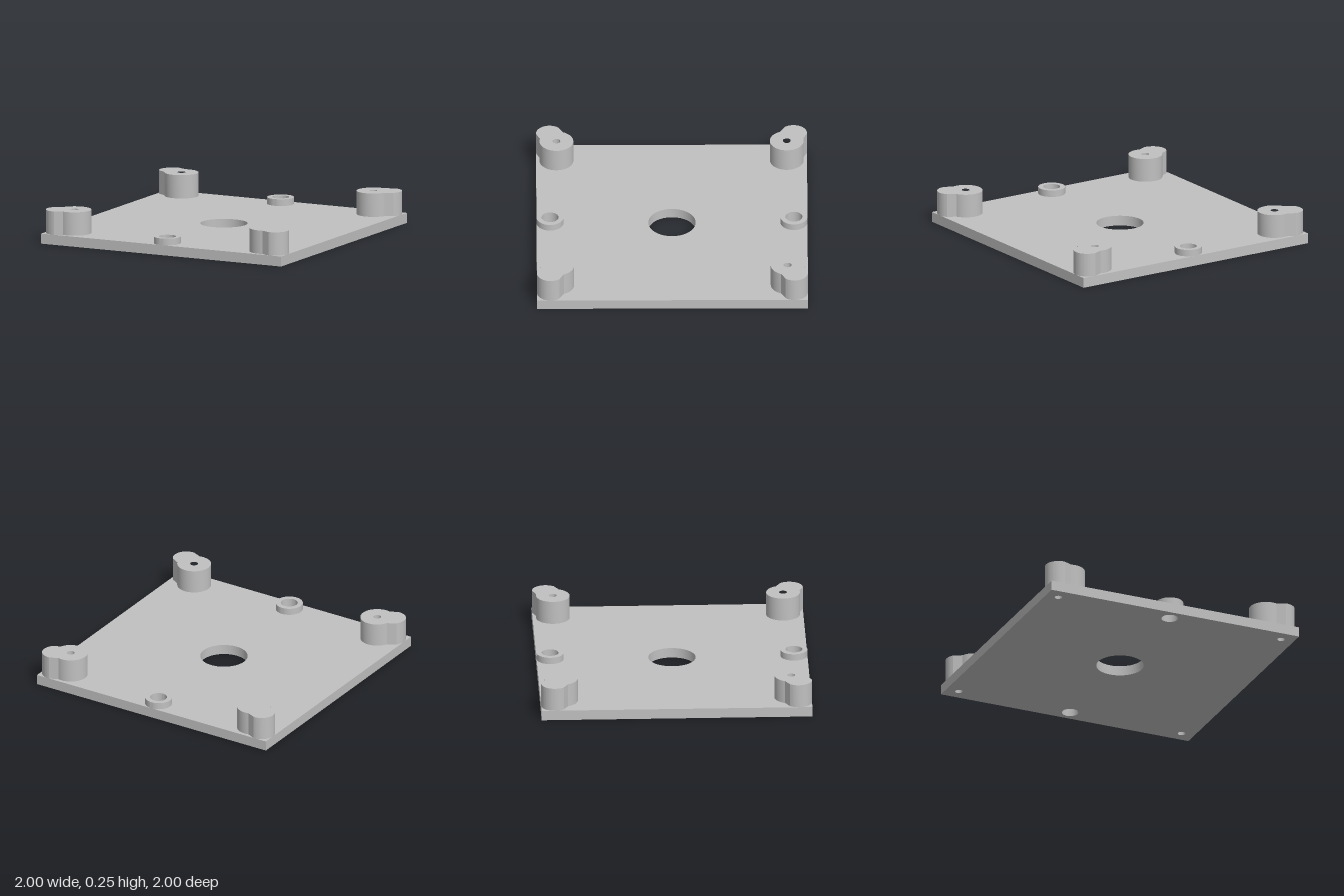
import * as THREE from 'three';
import { toCreasedNormals } from 'three/addons/utils/BufferGeometryUtils.js';

const PLATE_TOP = 0.075;
const POST_TOP = 0.25;
const COLLAR_TOP = 0.125;

// Points along a circular arc
function arc(cx, cy, r, from, to, n) {
  return Array.from({ length: n + 1 }, (_, i) => {
    const a = from + ((to - from) * i) / n;
    return new THREE.Vector2(cx + r * Math.cos(a), cy + r * Math.sin(a));
  });
}

function addHole(shape, x, y, r) {
  shape.holes.push(new THREE.Path().absarc(x, y, r, 0, Math.PI * 2, true));
}

// Extrude a plan outline upward between two heights
function slab(shape, y0, y1) {
  const geo = new THREE.ExtrudeGeometry(shape, { depth: y1 - y0, bevelEnabled: false, curveSegments: 32 });
  geo.rotateX(-Math.PI / 2);
  geo.translate(0, y0, 0);
  return toCreasedNormals(geo, 0.4);
}

// Union of the screw boss and the smaller corner circle, mirrored into a quadrant
function postShape(sx, sy) {
  const bx = 0.8, by = 0.85, br = 0.125;
  const cx = 0.9, cy = 0.9, cr = 0.1;
  const d = Math.hypot(cx - bx, cy - by);
  const dir = Math.atan2(cy - by, cx - bx);
  const ab = Math.acos((d * d + br * br - cr * cr) / (2 * d * br));
  const ac = Math.PI - Math.acos((d * d + cr * cr - br * br) / (2 * d * cr));
  const outline = [
    ...arc(bx, by, br, dir + ab, dir - ab + Math.PI * 2, 40),
    ...arc(cx, cy, cr, dir - (Math.PI - ac), dir + (Math.PI - ac), 28).slice(1, -1),
  ];
  const shape = new THREE.Shape(outline.map((p) => new THREE.Vector2(p.x * sx, p.y * sy)));
  addHole(shape, bx * sx, by * sy, 0.029);
  return shape;
}

export function createModel() {
  const group = new THREE.Group();
  const grey = new THREE.MeshStandardMaterial({ color: 0xc0c0c0 });
  grey.name = 'light grey';
  const add = (name, geo) => {
    const mesh = new THREE.Mesh(geo, grey);
    mesh.name = name;
    group.add(mesh);
  };

  // Base plate with centre opening, two through holes and four corner holes from below
  const plate = new THREE.Shape([[-1, -1], [1, -1], [1, 1], [-1, 1]].map(([x, y]) => new THREE.Vector2(x, y)));
  addHole(plate, 0, 0, 0.175);
  for (const s of [-1, 1]) {
    addHole(plate, 0, 0.9 * s, 0.0625);
    for (const t of [-1, 1]) addHole(plate, 0.9 * t, 0.9 * s, 0.028);
  }
  add('basePlate', slab(plate, 0, PLATE_TOP));

  for (const s of [-1, 1]) {
    const end = s > 0 ? 'back' : 'front';

    // Raised collar around each through hole
    const collar = new THREE.Shape().absarc(0, 0.9 * s, 0.1, 0, Math.PI * 2, false);
    addHole(collar, 0, 0.9 * s, 0.0625);
    add(end + 'Collar', slab(collar, PLATE_TOP, COLLAR_TOP));

    // Corner posts with a blind screw hole
    for (const t of [-1, 1]) {
      add(end + (t > 0 ? 'Left' : 'Right') + 'Post', slab(postShape(t, s), PLATE_TOP, POST_TOP));
    }
  }
  return group;
}
